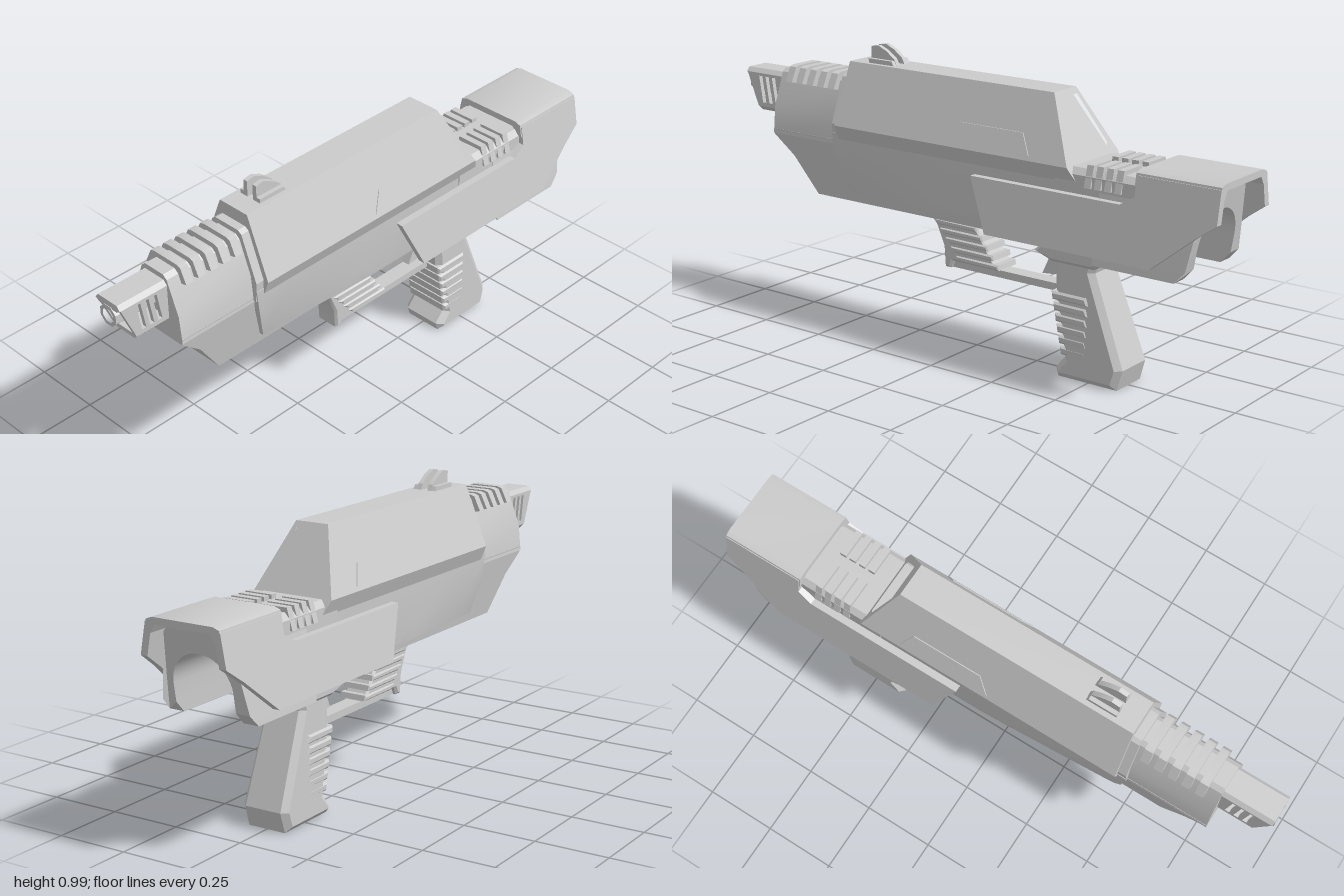
import * as THREE from 'three';
import { toCreasedNormals } from 'three/addons/utils/BufferGeometryUtils.js';

const material = new THREE.MeshStandardMaterial({ color: 0xcccccc });

// Moves every vertex by a rule that edits the point in place, then sharpens the edges.
function finish(geo, rule) {
  const pos = geo.attributes.position, v = new THREE.Vector3();
  for (let i = 0; rule && i < pos.count; i++) {
    v.fromBufferAttribute(pos, i);
    rule(v);
    pos.setXYZ(i, v.x, v.y, v.z);
  }
  return toCreasedNormals(geo, 0.4);
}

const toShape = (pts) => new THREE.Shape(pts.map(([x, y]) => new THREE.Vector2(x, y)));
const mirrored = (half) => [...half, ...half.map(([x, y]) => [-x, y]).reverse()];

// Mirrored cross-section [x, y] swept along z.
function prism(half, z0, z1, { hole, rule, steps = 1 } = {}) {
  const shape = toShape(mirrored(half));
  if (hole) shape.holes.push(toShape(mirrored(hole)));
  const geo = new THREE.ExtrudeGeometry(shape, { depth: z1 - z0, steps, bevelEnabled: false });
  geo.translate(0, 0, z0);
  return finish(geo, rule);
}

// Side profile [z, y] given thickness from x0 to x1.
function slab(pts, x0, x1, { holes = [], rule, bevel = 0 } = {}) {
  const flip = (list) => toShape(list.map(([z, y]) => [-z, y]));
  const shape = flip(pts);
  shape.holes = holes.map(flip);
  const geo = new THREE.ExtrudeGeometry(shape, {
    depth: x1 - x0 - 2 * bevel, bevelEnabled: bevel > 0, bevelSize: bevel,
    bevelThickness: bevel, bevelOffset: -bevel, bevelSegments: 1,
  });
  geo.translate(0, 0, x0 + bevel);
  geo.rotateY(Math.PI / 2);
  return finish(geo, rule);
}

export function createModel() {
  const model = new THREE.Group();
  const add = (name, geo) => {
    const mesh = new THREE.Mesh(geo, material);
    mesh.name = name;
    model.add(mesh);
    return mesh;
  };
  const addPair = (name, geo) => {
    add(name + 'Left', geo);
    add(name + 'Right', geo).scale.x = -1;
  };

  // Upper body with a sloped rear and a recessed rear window
  const slope = (y) => -0.35 - (0.93 - y) * 0.52;
  const bodySection = [[0.06, 0.93], [0.145, 0.72], [0.125, 0.67]];
  add('upperBody', prism(bodySection, -0.3, 0.5, {
    rule: (v) => { if (v.z < 0) v.z = slope(v.y) + 0.035; },
  }));
  add('rearWindowFrame', prism(bodySection, -0.4, -0.3, {
    hole: [[0.05, 0.91], [0.105, 0.755], [0.095, 0.74]],
    rule: (v) => { v.z = slope(v.y) + (v.z > -0.35 ? 0.036 : 0); },
  }));
  const onBodySide = (v) => { v.x += 0.06 + (0.93 - v.y) * 0.405; };
  addPair('sidePanelTrim', slab(
    [[0.02, 0.735], [-0.02, 0.8], [-0.27, 0.8], [-0.31, 0.735]], -0.01, 0.003, {
      holes: [[[0.006, 0.742], [-0.024, 0.792], [-0.266, 0.792], [-0.296, 0.742]]],
      rule: onBodySide,
    }));

  // Lower body, its flank scooped away towards the front
  add('lowerBody', prism([[0.125, 0.69], [0.122, 0.6], [0.12, 0.48]], -0.6, 0.53, {
    steps: 12,
    rule: (v) => {
      const t = THREE.MathUtils.clamp(v.z / 0.5, 0, 1);
      if (v.y < 0.5) v.x *= 1 - 0.22 * t;
      else if (v.y < 0.65) v.y = 0.49 + 0.11 * Math.sqrt(t);
      if (v.z > 0.5) v.z -= Math.max(0, 0.64 - v.y) * 0.3;
    },
  }));
  add('keel', slab(
    [[0.82, 0.66], [0.82, 0.64], [0.74, 0.57], [0.65, 0.44], [-0.58, 0.44], [-0.58, 0.66]], -1, 1, {
      rule: (v) => { v.x *= 0.07 + (v.y - 0.44) * 0.18; },
    }));

  // Front shroud, collar and cooling ribs
  add('frontShroud', prism(
    [[0.04, 0.868], [0.056, 0.855], [0.1, 0.74], [0.11, 0.645]], 0.45, 0.82));
  add('shroudCollar', prism(
    [[0.05, 0.885], [0.065, 0.875], [0.125, 0.72], [0.12, 0.65]], 0.45, 0.53));
  for (let i = 0; i < 5; i++) {
    const z = 0.55 + i * 0.049;
    add('shroudRib', prism([[0.05, 0.885], [0.066, 0.88], [0.09, 0.83], [0.05, 0.82]], z, z + 0.029));
  }

  // Muzzle housing with slanted vents and an eight-sided barrel
  const vents = [0, 1, 2].map((i) => {
    const z = 0.845 + i * 0.031;
    return [[z, 0.73], [z + 0.016, 0.73], [z + 0.001, 0.825], [z - 0.015, 0.825]]
      .map(([a, y]) => [a + (y - 0.73) * 0.32, y]);
  });
  addPair('muzzleSide', slab(
    [[0.8, 0.835], [0.995, 0.835], [0.945, 0.715], [0.8, 0.715]], 0.04, 0.055, { holes: vents }));
  add('muzzleTop', prism([[0.042, 0.85], [0.055, 0.835], [0.04, 0.825]], 0.8, 0.998));
  add('muzzleBottom', prism([[0.055, 0.715], [0.04, 0.7]], 0.8, 0.942));
  const octagon = (r) => [1, 3, 5, 7].map((k) => {
    const a = Math.PI / 2 - k * Math.PI / 8;
    return [r * Math.cos(a), 0.795 + r * Math.sin(a)];
  });
  add('barrel', prism(octagon(0.038), 0.8, 1, { hole: octagon(0.025) }));
  add('barrelCore', prism(octagon(0.026), 0.8, 0.96));

  // Twin sight fins
  addPair('sightFin', slab(
    [[0.43, 0.92], [0.43, 0.985], [0.4, 0.99], [0.365, 0.975], [0.33, 0.95], [0.315, 0.92]], 0.012, 0.028));
  addPair('sightFoot', slab([[0.43, 0.92], [0.43, 0.945], [0.33, 0.945], [0.315, 0.92]], 0.028, 0.043));

  // Rear deck with ribs
  add('rearDeck', prism([[0.11, 0.72], [0.128, 0.7], [0.128, 0.64]], -0.72, -0.4));
  for (let i = 0; i < 4; i++) {
    const z = -0.53 - i * 0.037;
    addPair('deckRib', slab(
      [[z + 0.012, 0.665], [z + 0.012, 0.735], [z - 0.012, 0.735], [z - 0.012, 0.665]], 0.02, 0.137, {
        rule: (v) => { if (v.x > 0.1 && v.y > 0.7) v.x -= 0.02; },
      }));
  }

  // Stock roof, flared side plates and the arched arm cuff
  add('stockRoof', prism(
    [[0.11, 0.75], [0.132, 0.742], [0.14, 0.7], [0.118, 0.7], [0.1, 0.728]], -1, -0.705));
  addPair('stockSide', slab(
    [[-0.09, 0.64], [-0.66, 0.64], [-0.71, 0.67], [-0.71, 0.735], [-1, 0.735], [-1, 0.63],
      [-0.93, 0.58], [-0.79, 0.465], [-0.17, 0.465]], -0.025, 0, {
      rule: (v) => { v.x += 0.137 + (0.73 - v.y) * 0.185; },
    }));
  const arch = Array.from({ length: 9 }, (_, i) => {
    const a = i * Math.PI / 18;
    return [0.11 * Math.cos(a), 0.53 + 0.11 * Math.sin(a)];
  });
  add('armCuff', prism(
    [[0.1, 0.715], [0.122, 0.69], [0.16, 0.47], [0.165, 0.432], [0.11, 0.432], [0.11, 0.47], ...arch],
    -0.9, -0.57, {
      rule: (v) => { if (v.z < -0.8) v.z = v.y < 0.45 ? -0.865 : -0.9 - (v.y - 0.47) * 0.17; },
    }));

  // Fore grip with slanted ribs, and the guard bar
  add('foreGrip', slab(
    [[0.18, 0.46], [0.14, 0.41], [0.11, 0.34], [0.105, 0.27], [0.08, 0.27], [0.07, 0.295],
      [-0.12, 0.295], [-0.01, 0.46]], -0.045, 0.045, { bevel: 0.008 }));
  for (let i = 0; i < 5; i++) {
    const y = 0.3 + i * 0.029, z = -0.128 + i * 0.023;
    add('foreGripRib', slab(
      [[z, y], [z + 0.16, y], [z + 0.18, y + 0.018], [z + 0.004, y + 0.018]], -0.052, 0.052, { bevel: 0.005 }));
  }
  add('guardBar', slab([[0.1, 0.27], [-0.39, 0.27], [-0.39, 0.295], [0.08, 0.295]], -0.028, 0.028));
  add('trigger', slab(
    [[-0.29, 0.46], [-0.31, 0.38], [-0.28, 0.315], [-0.33, 0.32], [-0.36, 0.36], [-0.37, 0.46]], -0.016, 0.016));

  // Pistol grip, widening downwards, with finger ribs
  add('pistolGrip', slab(
    [[-0.35, 0.45], [-0.54, 0.45], [-0.515, 0.37], [-0.63, 0.07], [-0.61, 0], [-0.385, 0],
      [-0.375, 0.03], [-0.41, 0.07], [-0.395, 0.15], [-0.37, 0.27], [-0.365, 0.36]], -0.088, 0.088, {
      bevel: 0.02, rule: (v) => { v.x *= 1 - 0.4 * v.y; },
    }));
  add('gripCollar', slab(
    [[-0.29, 0.41], [-0.34, 0.46], [-0.56, 0.46], [-0.55, 0.41], [-0.52, 0.385], [-0.36, 0.385]],
    -0.086, 0.086, { bevel: 0.012 }));
  for (let i = 0; i < 6; i++) {
    const y = 0.08 + i * 0.036, z = -0.4 + i * 0.007;
    add('gripRib', slab(
      [[z, y], [z + 0.004, y + 0.028], [-0.495, y + 0.028], [-0.505, y]], -0.085, 0.085, { bevel: 0.007 }));
  }
  return model;
}
